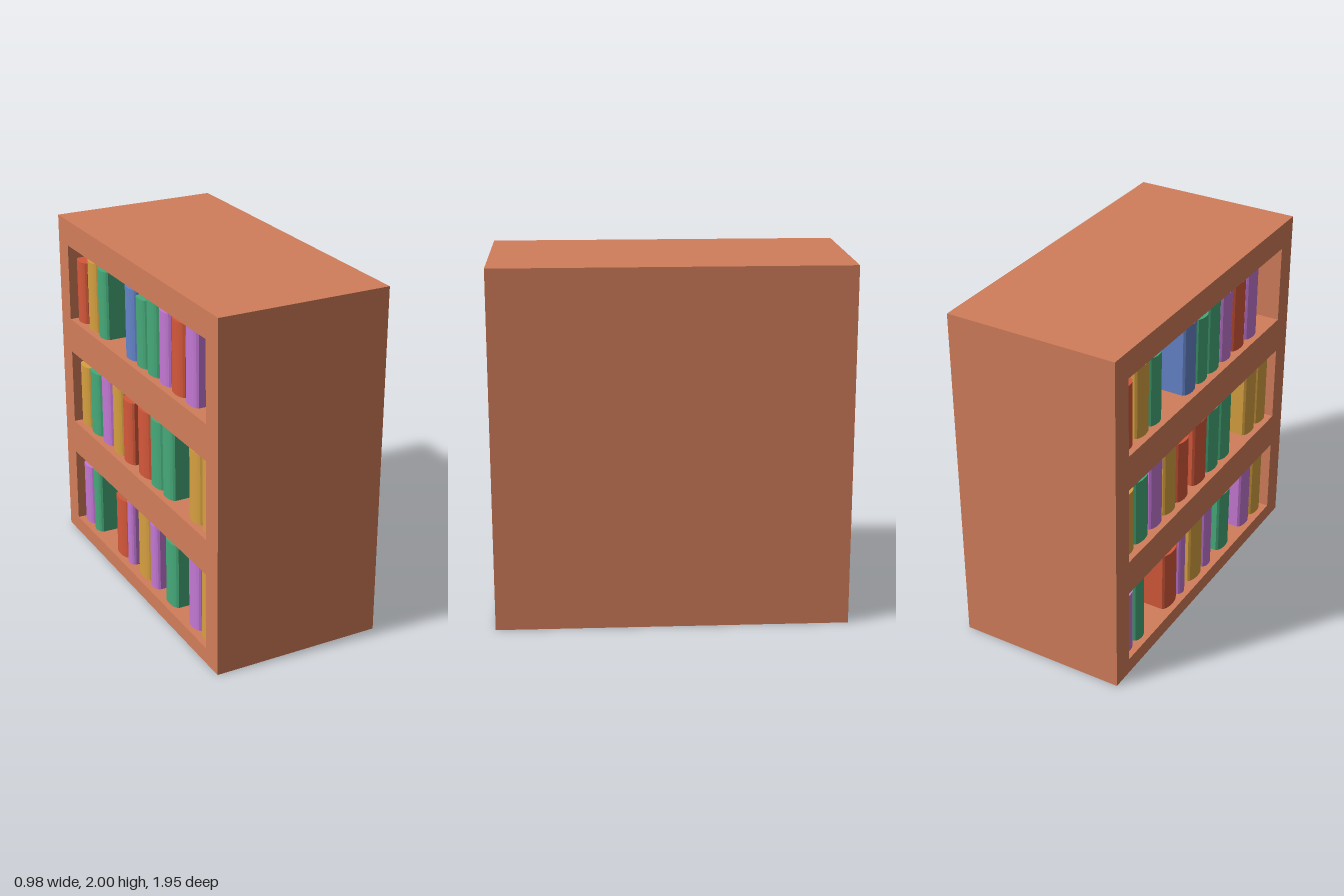
import * as THREE from 'three';

const material = (name, color) => {
  const m = new THREE.MeshStandardMaterial({ color });
  m.name = name;
  return m;
};

// Case dimensions; the open side faces -x
const HALF_X = 0.488, HALF_Z = 0.974, HEIGHT = 2;
const CAVITY_Z = 0.847, CAVITY_H = 0.45, CAVITY_DEPTH = 0.42;
const SHELF_Y = [0.092, 0.746, 1.4];

// Each book: colour, near edge, far edge (from the -z end), height
const ROWS = [
  [['purple', 0.13, 0.26, 0.38], ['green', 0.27, 0.38, 0.4], ['red', 0.59, 0.75, 0.37],
    ['purple', 0.75, 0.84, 0.41], ['yellow', 0.89, 1.05, 0.42], ['purple', 1.05, 1.16, 0.4],
    ['green', 1.24, 1.39, 0.39], ['purple', 1.52, 1.66, 0.42], ['yellow', 1.67, 1.81, 0.41]],
  [['yellow', 0.13, 0.27, 0.38], ['green', 0.27, 0.42, 0.39], ['purple', 0.43, 0.57, 0.41],
    ['yellow', 0.58, 0.72, 0.41], ['red', 0.72, 0.86, 0.38], ['red', 0.91, 1.07, 0.4],
    ['green', 1.07, 1.22, 0.4], ['green', 1.22, 1.36, 0.43], ['yellow', 1.53, 1.68, 0.41],
    ['yellow', 1.68, 1.82, 0.42]],
  [['red', 0.13, 0.26, 0.37], ['yellow', 0.28, 0.42, 0.41], ['green', 0.42, 0.55, 0.4],
    ['blue', 0.78, 0.92, 0.41], ['green', 0.92, 1.05, 0.39], ['green', 1.05, 1.19, 0.42],
    ['purple', 1.2, 1.33, 0.41], ['red', 1.34, 1.49, 0.41], ['purple', 1.5, 1.64, 0.43]],
];

const rectangle = (path, x0, y0, x1, y1) =>
  path.moveTo(x0, y0).lineTo(x1, y0).lineTo(x1, y1).lineTo(x0, y1).closePath();

// Plan of a book with a rounded spine, extruded upwards
function bookGeometry(thickness, height) {
  const t = thickness / 2, front = 0.06, back = 0.4;
  const plan = new THREE.Shape();
  plan.moveTo(back, -t).lineTo(back, t).lineTo(front, t);
  plan.bezierCurveTo(front - 0.035, t * 0.8, front - 0.035, -t * 0.8, front, -t);
  plan.closePath();
  return new THREE.ExtrudeGeometry(plan, { depth: height, bevelEnabled: false, curveSegments: 8 })
    .rotateX(-Math.PI / 2);
}

export function createModel() {
  const model = new THREE.Group();
  model.name = 'bookcase';
  const wood = material('wood', 0xd17d5a);
  const covers = {
    red: material('red cover', 0xd4583a),
    green: material('green cover', 0x46aa7a),
    blue: material('blue cover', 0x6484c8),
    purple: material('purple cover', 0xc478d4),
    yellow: material('yellow cover', 0xd6a040),
  };
  const add = (parent, name, geometry, mat) => {
    const mesh = new THREE.Mesh(geometry, mat);
    mesh.name = name;
    parent.add(mesh);
    return mesh;
  };

  // Frame with three shelf openings
  const outline = new THREE.Shape();
  rectangle(outline, -HALF_Z, 0, HALF_Z, HEIGHT);
  for (const y of SHELF_Y) {
    const hole = new THREE.Path();
    rectangle(hole, -CAVITY_Z, y, CAVITY_Z, y + CAVITY_H);
    outline.holes.push(hole);
  }
  const frame = new THREE.ExtrudeGeometry(outline, { depth: CAVITY_DEPTH, bevelEnabled: false })
    .rotateY(Math.PI / 2).translate(-HALF_X, 0, 0);
  add(model, 'shelfFrame', frame, wood);

  // Solid body behind the shelves
  const bodyWidth = HALF_X * 2 - CAVITY_DEPTH;
  add(model, 'caseBody', new THREE.BoxGeometry(bodyWidth, HEIGHT, HALF_Z * 2), wood)
    .position.set(HALF_X - bodyWidth / 2, HEIGHT / 2, 0);

  // Books on each shelf, from the bottom up
  ROWS.forEach((row, i) => {
    const shelf = new THREE.Group();
    shelf.name = `bookRow${i + 1}`;
    shelf.position.y = SHELF_Y[i];
    model.add(shelf);
    for (const [color, z0, z1, height] of row) {
      add(shelf, `${color}Book`, bookGeometry(z1 - z0 - 0.008, height), covers[color])
        .position.set(-HALF_X, 0, (z0 + z1) / 2 - HALF_Z);
    }
  });

  // Green inlay on top of the red book on the lowest shelf
  const [, z0, z1, height] = ROWS[0][2];
  add(model, 'topInlay', new THREE.BoxGeometry(0.06, 0.006, 0.08), covers.green)
    .position.set(-HALF_X + 0.09, SHELF_Y[0] + height + 0.003, (z0 + z1) / 2 - HALF_Z);
  return model;
}
